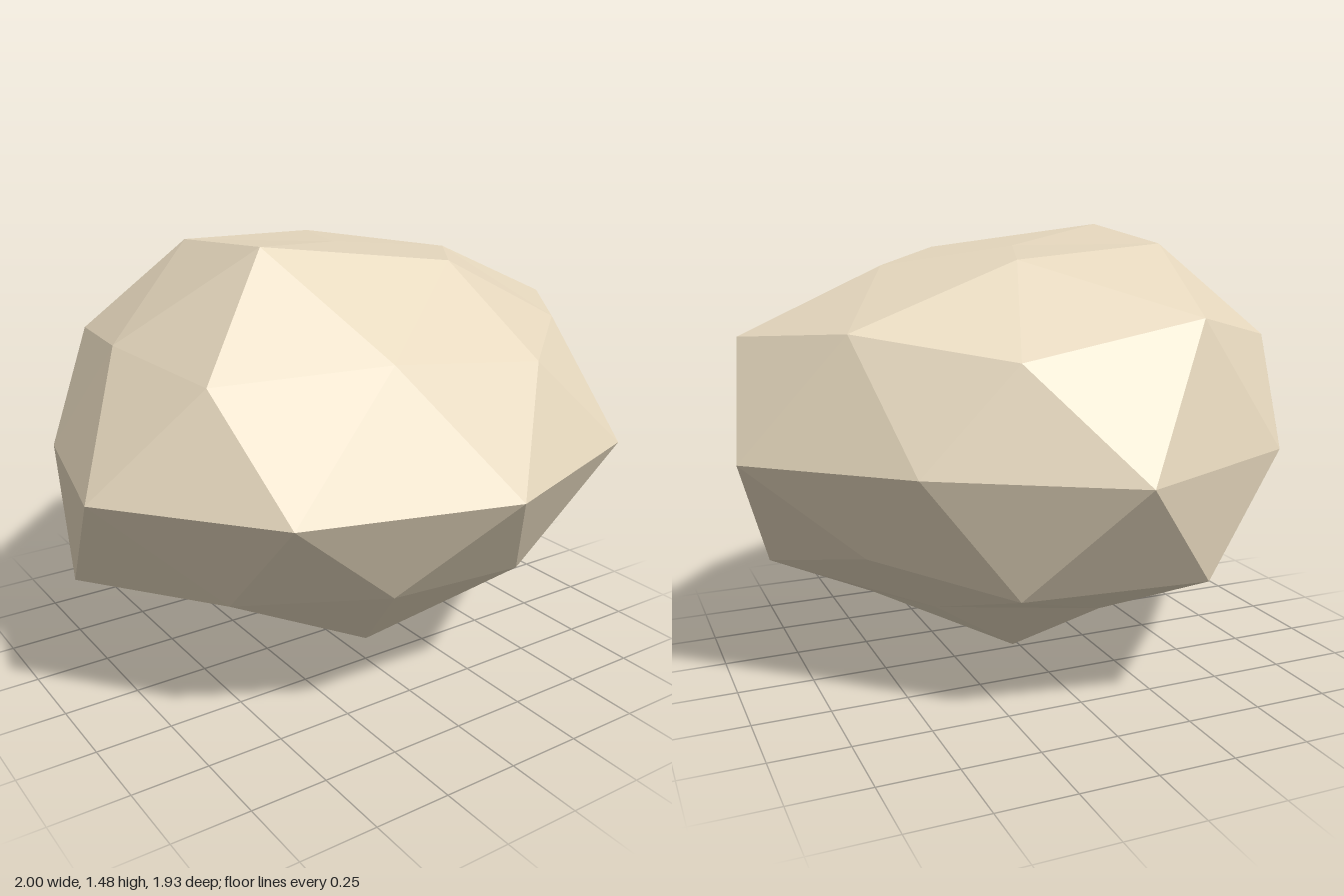
import * as THREE from 'three';

// Boulder: a pole-up subdivided icosahedron, squashed, each corner pushed in or out
const CENTRE = new THREE.Vector3(0.02, 0.82, 0.02);
const SCALE = new THREE.Vector3(1, 0.74, 0.865);

// One ring of corners: unit height, starting azimuth in degrees, radial factors
function ring(height, start, factors) {
  const radius = Math.sqrt(1 - height * height);
  return factors.map((f, i) => {
    const a = THREE.MathUtils.degToRad(start + (i * 360) / factors.length);
    return new THREE.Vector3(radius * Math.cos(a), height, radius * Math.sin(a))
      .multiplyScalar(f).multiply(SCALE).add(CENTRE);
  });
}

function boulderGeometry() {
  const top = ring(1, 0, [0.81])[0];
  const crown = ring(0.851, 0, [0.865, 0.922, 1.045, 0.967, 0.915]);
  const upperMain = ring(0.447, 0, [1.025, 0.945, 0.993, 0.967, 0.95]);
  const upperMid = ring(0.526, 36, [0.895, 0.95, 0.928, 1.08, 0.985]);
  const waist = ring(0, 18, [0.912, 1.035, 1.092, 1.083, 1.073, 0.95, 1.015, 1.144, 0.935, 1.03]);
  const lowerMid = ring(-0.526, 0, [1.0, 0.95, 0.935, 0.94, 0.985]);
  const lowerMain = ring(-0.447, 36, [0.93, 0.957, 1.073, 1.087, 0.88]);
  const base = ring(-0.851, 36, [1.03, 0.97, 0.9, 0.9, 0.86]);
  const bottom = ring(-1, 0, [1.108])[0];

  const points = [];
  const tri = (...corners) => points.push(...corners);

  // Top and bottom caps
  for (let k = 0; k < 5; k++) {
    const n = (k + 1) % 5, p = (k + 4) % 5;
    tri(top, crown[n], crown[k]);
    tri(crown[k], crown[n], upperMid[k]);
    tri(crown[k], upperMid[k], upperMain[k]);
    tri(crown[n], upperMain[n], upperMid[k]);
    tri(bottom, base[p], base[k]);
    tri(base[k], base[p], lowerMid[k]);
    tri(base[k], lowerMid[k], lowerMain[k]);
    tri(lowerMid[k], base[p], lowerMain[p]);
  }

  // Bands above and below the waist
  const upper = upperMain.flatMap((v, k) => [v, upperMid[k]]);
  const lower = lowerMid.flatMap((v, k) => [v, lowerMain[k]]);
  for (let j = 0; j < 10; j++) {
    const n = (j + 1) % 10, p = (j + 9) % 10;
    tri(upper[j], upper[n], waist[j]);
    tri(upper[j], waist[j], waist[p]);
    tri(lower[n], lower[j], waist[j]);
    tri(lower[j], waist[p], waist[j]);
  }

  const geometry = new THREE.BufferGeometry().setFromPoints(points);
  geometry.computeVertexNormals();
  return geometry;
}

export function createModel() {
  const stone = new THREE.MeshStandardMaterial({ color: 0xe5d7bd, flatShading: true });
  stone.name = 'sandy stone';
  const boulder = new THREE.Mesh(boulderGeometry(), stone);
  boulder.name = 'boulder';
  const model = new THREE.Group();
  model.name = 'rock';
  model.add(boulder);
  return model;
}
